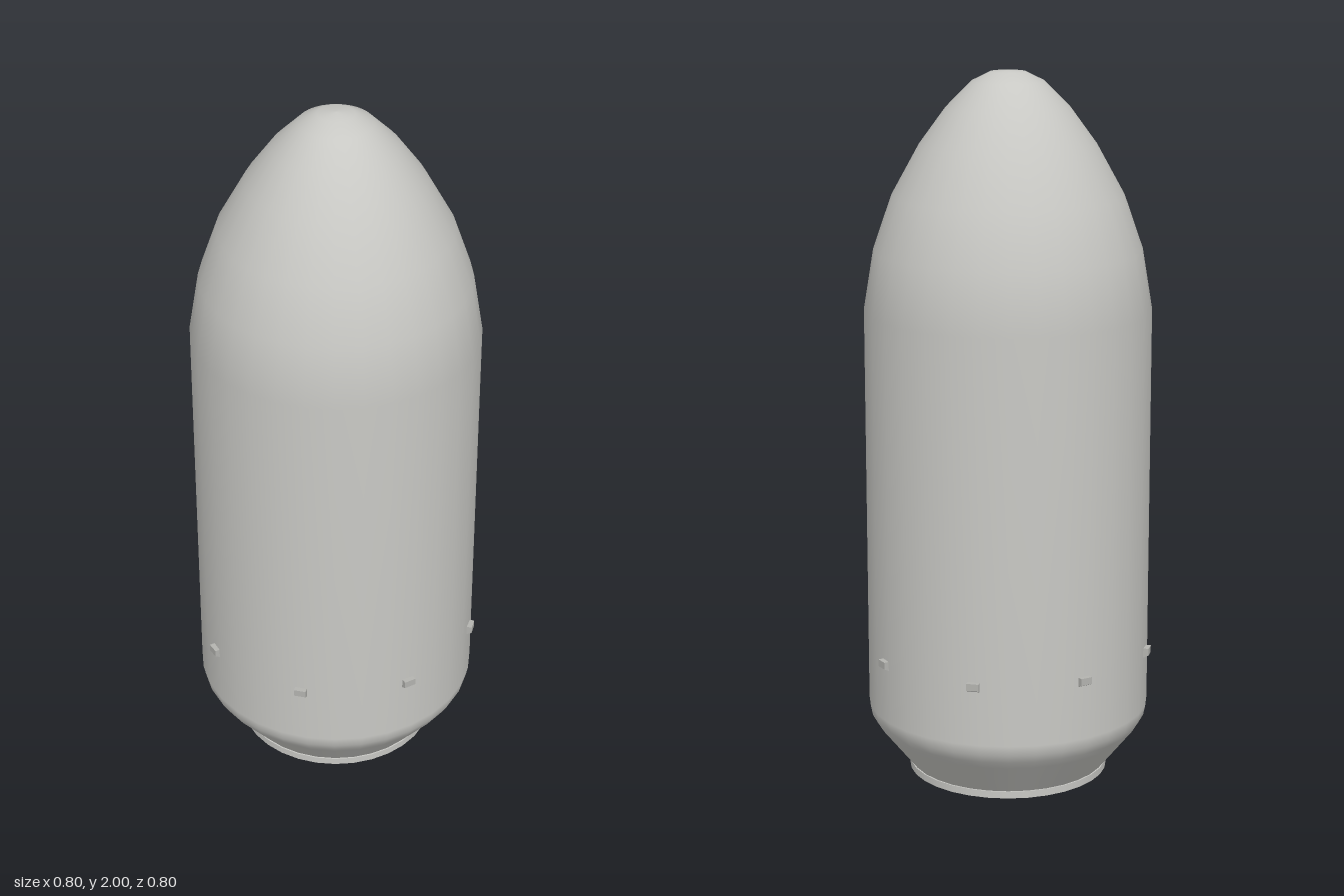
import * as THREE from 'three';

const shellGrey = new THREE.MeshStandardMaterial({ color: 0xc8c8c4 });
shellGrey.name = 'shellGrey';
const fittingGrey = new THREE.MeshStandardMaterial({ color: 0xb4b4b0 });
fittingGrey.name = 'fittingGrey';

const WALL = 0.008;

// Outer profile [radius, height], from the tail cone up to the nose tip
const profile = [
  [0.28, 0.02], [0.36, 0.12], [0.38, 0.145], [0.394, 0.17], [0.4, 0.2],
  [0.4, 1.34], [0.372, 1.51], [0.32, 1.66], [0.243, 1.8],
  [0.17, 1.9], [0.1, 1.97], [0.05, 1.995], [0, 2],
];

function addHalfLathe(group, name, points, start) {
  const pts = points.map(([r, y]) => new THREE.Vector2(r, y));
  const mesh = new THREE.Mesh(new THREE.LatheGeometry(pts, 16, start, Math.PI), shellGrey);
  mesh.name = name;
  group.add(mesh);
}

// One half of the split shell: skin, lining and the short collar at the base
function createHalf(name, start) {
  const half = new THREE.Group();
  half.name = name;
  const lining = profile
    .map(([r, y]) => [Math.max(r - WALL, 0), r < 0.3 && y > 1 ? y - WALL : y])
    .reverse();
  addHalfLathe(half, 'outerSkin', profile, start);
  addHalfLathe(half, 'innerLining', lining, start);
  addHalfLathe(half, 'collarOutside', [[0.284, 0], [0.284, 0.02]], start);
  addHalfLathe(half, 'collarTop', [[0.284, 0.02], [0.28, 0.02]], start);
  addHalfLathe(half, 'collarInside', [[0.28 - WALL, 0.02], [0.28 - WALL, 0]], start);
  addHalfLathe(half, 'collarBottom', [[0.28 - WALL, 0], [0.284, 0]], start);
  return half;
}

// Small wedge block: flat top, sloping underside
function createWedgeGeometry() {
  const width = 0.034;
  const shape = new THREE.Shape([
    new THREE.Vector2(0.388, 0.382), new THREE.Vector2(0.388, 0.35),
    new THREE.Vector2(0.413, 0.362), new THREE.Vector2(0.413, 0.382),
  ]);
  const geometry = new THREE.ExtrudeGeometry(shape, { depth: width, bevelEnabled: false });
  return geometry.translate(0, 0, -width / 2);
}

export function createModel() {
  const model = new THREE.Group();
  model.name = 'payloadFairing';
  model.add(createHalf('frontHalf', -Math.PI / 2), createHalf('backHalf', Math.PI / 2));

  // Ring of eight fittings around the lower body
  const wedge = createWedgeGeometry();
  for (let i = 0; i < 8; i++) {
    const fitting = new THREE.Mesh(wedge, fittingGrey);
    fitting.name = 'fitting' + (i + 1);
    fitting.rotation.y = THREE.MathUtils.degToRad(20 + i * 45);
    model.add(fitting);
  }
  return model;
}
